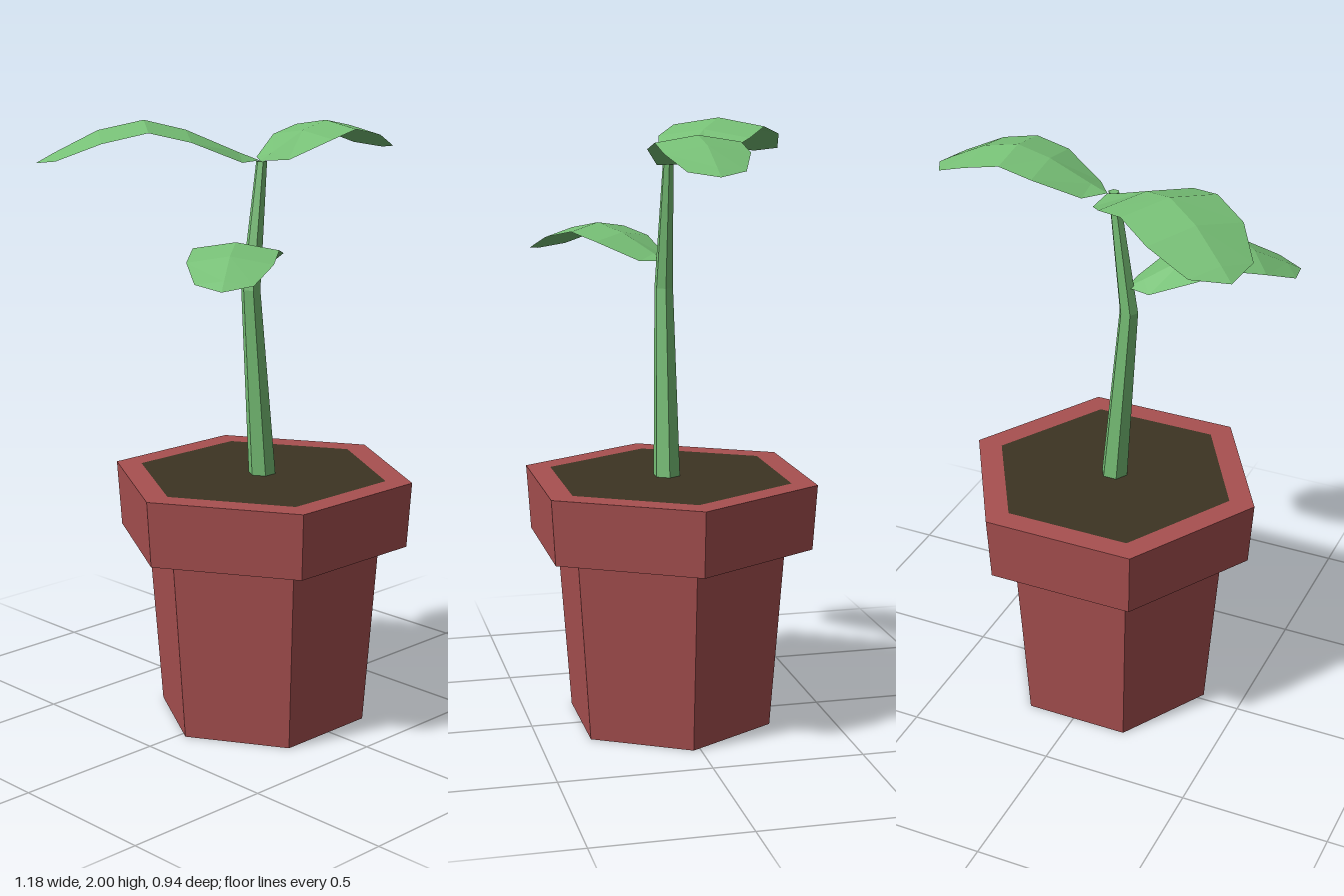
import * as THREE from 'three';

const flat = (name, color, side = THREE.FrontSide) => {
  const m = new THREE.MeshStandardMaterial({ color, flatShading: true, side });
  m.name = name;
  return m;
};

function part(group, name, geometry, material) {
  const mesh = new THREE.Mesh(geometry, material);
  mesh.name = name;
  group.add(mesh);
  return mesh;
}

// Leaf blade of unit scale along +x: [distance, half width, midrib height, edge height]
function leafGeometry() {
  const rows = [
    [0, 0, 0, 0],
    [0.055, 0.072, 0.022, 0.002],
    [0.195, 0.135, 0.083, 0.062],
    [0.305, 0.136, 0.11, 0.088],
    [0.425, 0.135, 0.085, 0.062],
    [0.54, 0.09, 0.028, 0.015],
    [0.587, 0, 0.002, 0.002],
  ];
  const pos = [], index = [];
  for (const [t, w, mid, edge] of rows) pos.push(t, edge, -w, t, mid, 0, t, edge, w);
  const last = rows.length - 2;
  for (let i = 0; i <= last; i++) {
    for (let j = 0; j < 2; j++) {
      const a = i * 3 + j, b = a + 1, c = a + 3, d = a + 4;
      if (i > 0) index.push(a, b, c);
      if (i === 0) index.push(a, d, c);
      else if (i < last) index.push(b, d, c);
    }
  }
  const g = new THREE.BufferGeometry();
  g.setAttribute('position', new THREE.Float32BufferAttribute(pos, 3));
  g.setIndex(index);
  g.computeVertexNormals();
  return g;
}

// Six-sided stem, tapered and bent through three centres
function stemGeometry() {
  const sections = [
    { x: -0.015, y: 0.83, z: 0.03, r: 0.046 },
    { x: -0.065, y: 1.46, z: 0.028, r: 0.032 },
    { x: -0.013, y: 1.867, z: 0.025, r: 0.018 },
  ];
  const g = new THREE.CylinderGeometry(1, 1, 2, 6, 2, false, Math.PI / 2);
  const p = g.attributes.position;
  for (let i = 0; i < p.count; i++) {
    const s = sections[Math.round(p.getY(i)) + 1];
    p.setXYZ(i, s.x + p.getX(i) * s.r, s.y, s.z + p.getZ(i) * s.r);
  }
  g.computeVertexNormals();
  return g;
}

export function createModel() {
  const model = new THREE.Group();
  model.name = 'pottedSeedling';
  const clay = flat('clay', 0xa85050);
  const earth = flat('earth', 0x3d3423);
  const green = flat('green', 0x77c076, THREE.DoubleSide);

  // Hexagonal pot with an overhanging rim
  const profile = [[0, 0], [0.353, 0], [0.4, 0.62], [0.493, 0.62], [0.508, 0.838], [0.42, 0.838]]
    .map(([r, y]) => new THREE.Vector2(r, y));
  const pot = part(model, 'pot', new THREE.LatheGeometry(profile, 6, Math.PI / 2), clay);
  pot.position.set(-0.012, 0, 0.024);

  // Soil flush with the rim
  const soil = part(model, 'soil', new THREE.CircleGeometry(0.42, 6).rotateX(-Math.PI / 2), earth);
  soil.position.set(-0.012, 0.838, 0.024);

  part(model, 'stem', stemGeometry(), green);

  // Leaves: base point, horizontal direction, scale
  const blade = leafGeometry();
  const leaves = [
    ['leftLeaf', [0, 1.867, 0.005], [1, 0], 1],
    ['backRightLeaf', [0, 1.867, 0.002], [-0.575, -0.422], 1.213],
    ['frontRightLeaf', [-0.06, 1.548, 0.02], [-0.46, 0.35], 0.985],
  ];
  for (const [name, base, [dx, dz], scale] of leaves) {
    const leaf = part(model, name, blade, green);
    leaf.position.set(...base);
    leaf.rotation.y = -Math.atan2(dz, dx);
    leaf.scale.setScalar(scale);
  }
  return model;
}
